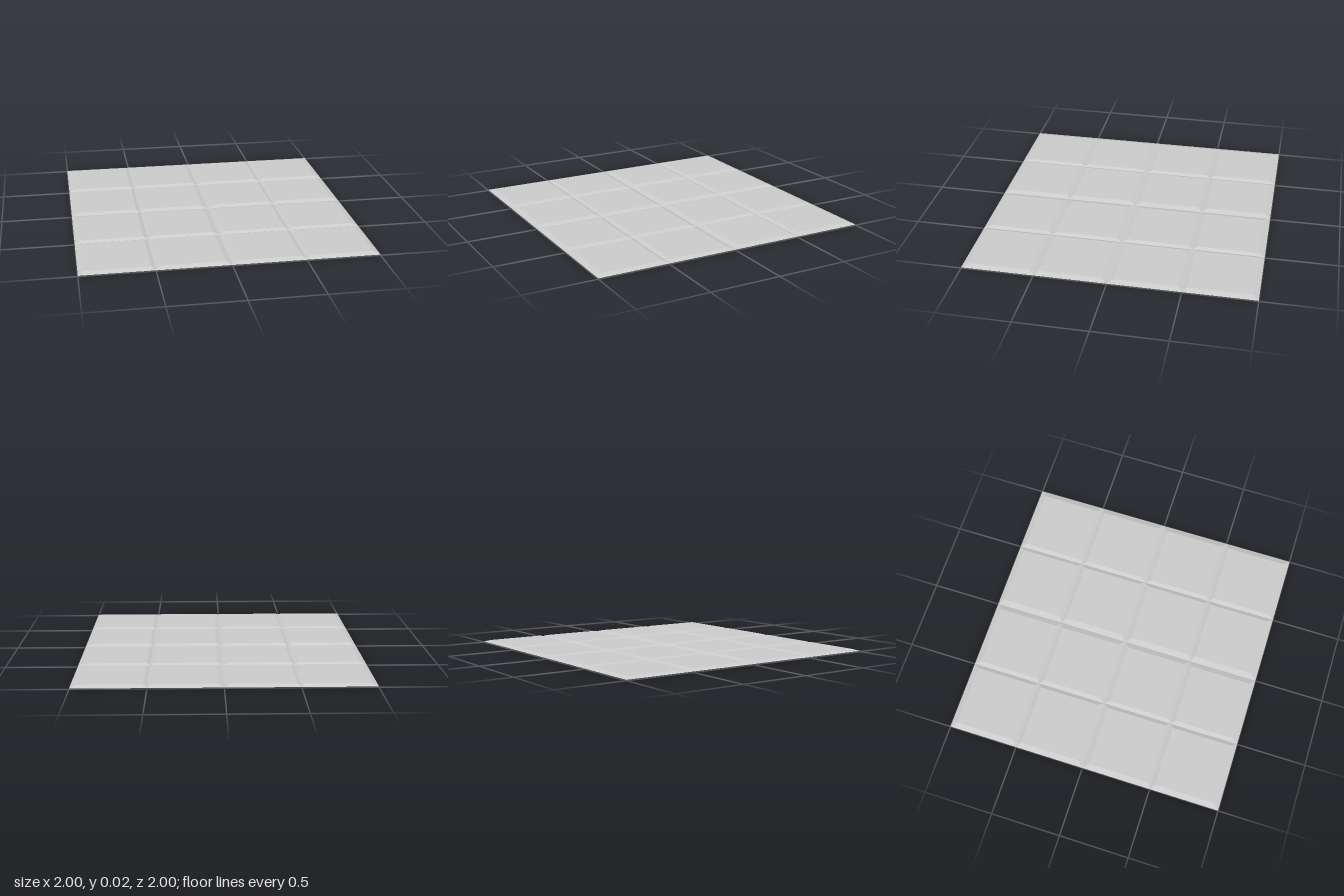
import * as THREE from 'three';

// Profile stations across one square panel: rim, bevel, flat, V groove, flat, bevel, rim
const S = [-0.5, -0.46, -0.028, 0, 0.028, 0.46, 0.5];
const TOP = [0.005, 0.018, 0.018, 0.007, 0.018, 0.018, 0.005];
const BOTTOM = [0.005, 0, 0, 0.005, 0, 0, 0.005];

// One face of a panel: crossed profiles, taking the inner of the two heights
function panelFace(profile, facesUp) {
  const n = S.length;
  const height = (i, j) => facesUp ? Math.min(profile[i], profile[j]) : Math.max(profile[i], profile[j]);
  const positions = [];
  const tri = (...corners) => {
    if (!facesUp) corners.reverse();
    for (const [i, j] of corners) positions.push(S[i], height(i, j), S[j]);
  };
  for (let i = 0; i < n - 1; i++) {
    for (let j = 0; j < n - 1; j++) {
      const a = [i, j], b = [i, j + 1], c = [i + 1, j + 1], d = [i + 1, j];
      // Split along the steeper diagonal so the corners are mitred
      const ac = Math.abs(height(...a) - height(...c));
      const bd = Math.abs(height(...b) - height(...d));
      if (ac >= bd) { tri(a, b, c); tri(a, c, d); }
      else { tri(a, b, d); tri(b, c, d); }
    }
  }
  const geometry = new THREE.BufferGeometry();
  geometry.setAttribute('position', new THREE.Float32BufferAttribute(positions, 3));
  geometry.computeVertexNormals();
  return geometry;
}

export function createModel() {
  const model = new THREE.Group();
  model.name = 'tiledFloor';
  const material = new THREE.MeshStandardMaterial({ color: 0xcccccc, flatShading: true });
  const topGeometry = panelFace(TOP, true);
  const bottomGeometry = panelFace(BOTTOM, false);

  // Four bevelled panels, each grooved into four tiles
  for (const x of [-0.5, 0.5]) {
    for (const z of [-0.5, 0.5]) {
      const panel = new THREE.Group();
      panel.name = (z > 0 ? 'front' : 'back') + (x > 0 ? 'Left' : 'Right') + 'Panel';
      const top = new THREE.Mesh(topGeometry, material);
      top.name = 'panelTop';
      const bottom = new THREE.Mesh(bottomGeometry, material);
      bottom.name = 'panelUnderside';
      panel.add(top, bottom);
      panel.position.set(x, 0, z);
      model.add(panel);
    }
  }
  return model;
}
